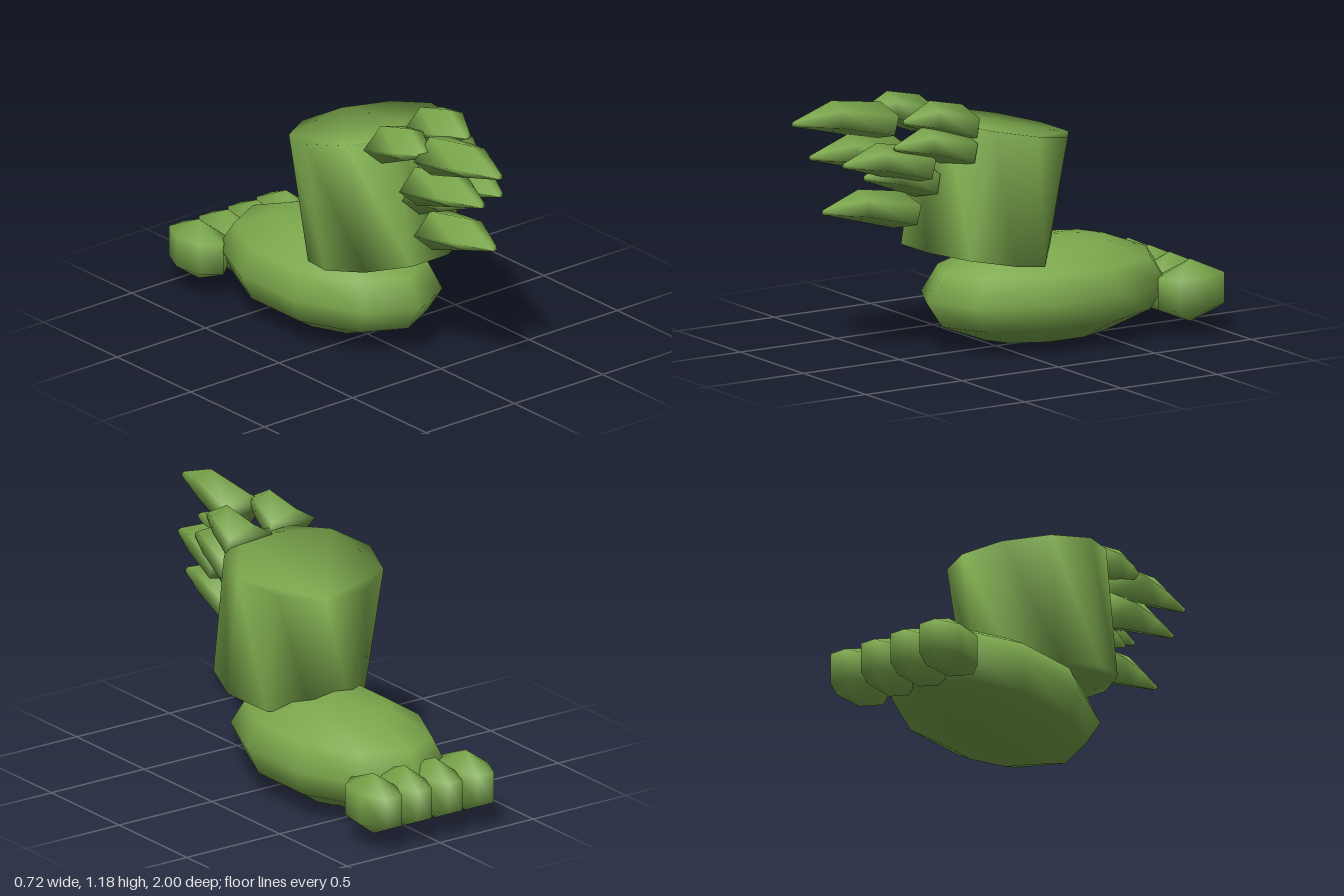
import * as THREE from 'three';
import { mergeVertices } from 'three/addons/utils/BufferGeometryUtils.js';

const green = new THREE.MeshStandardMaterial({ color: 0x7ba84c });
green.name = 'leaf green';

// Weld shared corners so the shading runs smoothly over the edges
function smooth(geometry) {
  geometry.deleteAttribute('normal');
  geometry.deleteAttribute('uv');
  const welded = mergeVertices(geometry);
  welded.computeVertexNormals();
  return welded;
}

// Low-poly ellipsoid with one corner of its outline pointing to +z
function ellipsoid(sides, rows, rx, ry, rz) {
  return new THREE.SphereGeometry(1, sides, rows, Math.PI / 2).scale(rx, ry, rz);
}

// Ten-sided leg block, a little narrower in x at the bottom
function legGeometry() {
  const points = [];
  for (let i = 0; i < 10; i++) {
    const a = (i / 10) * Math.PI * 2;
    points.push(new THREE.Vector2(0.357 * Math.cos(a), 0.335 * Math.sin(a)));
  }
  const height = 0.58;
  const geometry = new THREE.ExtrudeGeometry(new THREE.Shape(points), {
    depth: height, bevelEnabled: false, curveSegments: 1,
  });
  geometry.rotateX(-Math.PI / 2).translate(0, -height / 2, 0);
  const pos = geometry.attributes.position;
  for (let i = 0; i < pos.count; i++) {
    if (pos.getY(i) < 0) pos.setX(i, pos.getX(i) * 0.93);
  }
  return smooth(geometry);
}

// Hooked five-sided spike, one unit long along +z: base, hump and blunt tip
function spikeGeometry() {
  const rings = [
    [[-0.13, 0, 0.05], [-0.03, -0.09, 0.06], [0.125, -0.05, 0], [0.125, 0.035, -0.05], [-0.01, 0.075, -0.03]],
    [[-0.075, 0.02, 0.56], [-0.015, -0.03, 0.56], [0.085, 0.005, 0.55], [0.085, 0.08, 0.55], [0.005, 0.115, 0.56]],
    [[-0.01, 0.03, 1], [0.002, 0.02, 1], [0.018, 0.024, 1], [0.018, 0.038, 1], [0.002, 0.044, 1]],
  ];
  const index = [];
  for (let r = 0; r < 2; r++) {
    for (let i = 0; i < 5; i++) {
      const a = r * 5 + i, b = r * 5 + ((i + 1) % 5);
      index.push(a, b, b + 5, a, b + 5, a + 5);
    }
  }
  for (let i = 1; i < 4; i++) {
    index.push(0, i + 1, i, 10, 10 + i, 11 + i);
  }
  const geometry = new THREE.BufferGeometry();
  geometry.setAttribute('position', new THREE.Float32BufferAttribute(rings.flat(2), 3));
  geometry.setIndex(index);
  return geometry;
}

export function createModel() {
  const model = new THREE.Group();
  model.name = 'clawedFoot';

  function add(name, geometry, x, y, z) {
    const mesh = new THREE.Mesh(geometry, green);
    mesh.name = name;
    mesh.position.set(x, y, z);
    model.add(mesh);
    return mesh;
  }

  // Foot and leaning leg
  add('foot', ellipsoid(10, 6, 0.379, 0.235, 0.61), 0, 0.238, -0.25);
  add('leg', legGeometry(), 0, 0.717, 0.06).rotation.x = -0.184;

  // Four toes
  for (const side of [-1, 1]) {
    add('outerToe', ellipsoid(7, 3, 0.113, 0.14, 0.194), side * 0.248, 0.195, -0.848);
    add('innerToe', ellipsoid(7, 3, 0.1, 0.14, 0.194), side * 0.082, 0.195, -0.848);
  }

  // Spikes: x, y, z of the base and length
  const spikes = [
    [-0.085, 1.065, 0.55, 0.45],
    [-0.155, 1.055, 0.3, 0.3],
    [0.11, 1.055, 0.25, 0.3],
    [-0.1, 0.9, 0.47, 0.43],
    [0.06, 0.885, 0.45, 0.38],
    [0.13, 0.95, 0.275, 0.335],
    [-0.005, 0.8, 0.38, 0.3],
    [-0.02, 0.67, 0.475, 0.41],
  ];
  for (const [x, y, z, length] of spikes) {
    const geometry = spikeGeometry().scale(1, 1, length);
    geometry.computeVertexNormals();
    add('spike', geometry, x, y, z);
  }
  return model;
}
